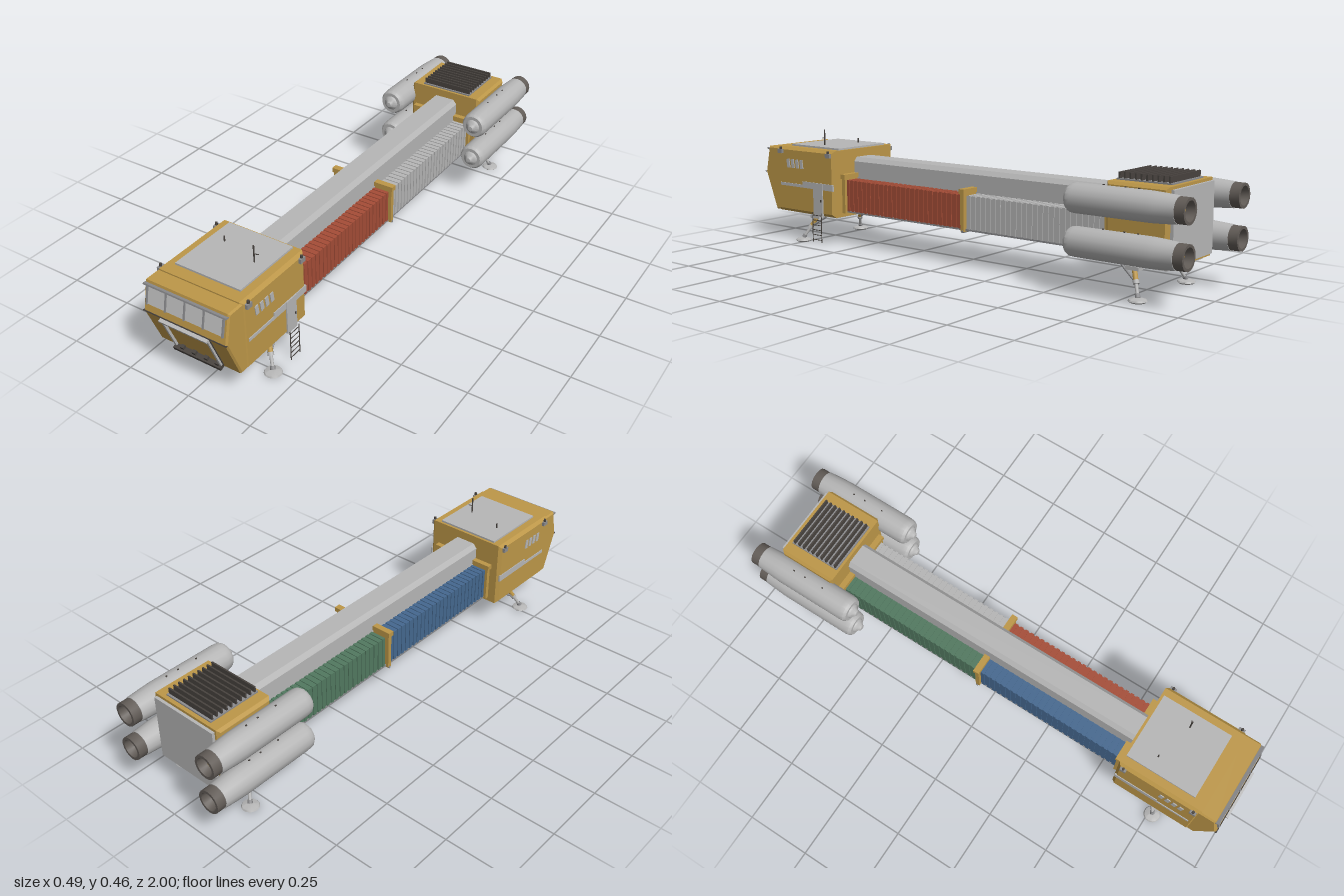
import * as THREE from 'three';
import { mergeGeometries, toCreasedNormals } from 'three/addons/utils/BufferGeometryUtils.js';

const mat = (name, color) => Object.assign(new THREE.MeshStandardMaterial({ color }), { name });
const M = {
  yellow: mat('ochre hull', 0xbd9748), grey: mat('light grey', 0xb6b6b6), mid: mat('mid grey', 0x8c8c8e),
  dark: mat('dark trim', 0x48433f), nozzle: mat('nozzle metal', 0x625c57), red: mat('red container', 0xa54d37),
  blue: mat('blue container', 0x45688f), green: mat('green container', 0x527960), glass: mat('pale window', 0xc2c2c2),
};

function add(parent, name, geo, material, x = 0, y = 0, z = 0) {
  const m = new THREE.Mesh(geo, material);
  m.name = name;
  m.position.set(x, y, z);
  parent.add(m);
  return m;
}
// Box given by its min and max corners
const span = (p, name, m, x0, x1, y0, y1, z0, z1) =>
  add(p, name, new THREE.BoxGeometry(x1 - x0, y1 - y0, z1 - z0), m, (x0 + x1) / 2, (y0 + y1) / 2, (z0 + z1) / 2);

// Bevelled hull from a side profile of [z, y] points
function hull(points, halfWidth, bevel) {
  const shape = new THREE.Shape(points.map(p => new THREE.Vector2(...p)));
  const depth = 2 * (halfWidth - bevel);
  const g = new THREE.ExtrudeGeometry(shape, {
    depth, bevelEnabled: true, bevelThickness: bevel, bevelSize: bevel, bevelOffset: -bevel, bevelSegments: 1,
  });
  return g.translate(0, 0, -depth / 2).rotateY(-Math.PI / 2);
}
// Round bar between two points
function strut(p, name, a, b, r, m, r2 = r) {
  const A = new THREE.Vector3(...a), B = new THREE.Vector3(...b), d = B.clone().sub(A);
  const s = add(p, name, new THREE.CylinderGeometry(r2, r, d.length(), 10), m);
  s.position.copy(A).add(B).multiplyScalar(0.5);
  s.quaternion.setFromUnitVectors(new THREE.Vector3(0, 1, 0), d.normalize());
  return s;
}
// Corrugated cargo container
function container(p, name, m, side, z0, z1) {
  const parts = [new THREE.BoxGeometry(0.062, 0.122, z1 - z0).translate(side * 0.084, 0.203, (z0 + z1) / 2)];
  const n = 26, step = (z1 - z0) / n;
  for (let i = 0; i < n; i++)
    parts.push(new THREE.BoxGeometry(0.066, 0.126, step * 0.55).translate(side * 0.085, 0.204, z0 + (i + 0.5) * step));
  add(p, name, mergeGeometries(parts), m);
}
// Landing leg with a dished foot
function leg(p, side, zTop, zFoot) {
  const g = new THREE.Group();
  g.name = 'landingLeg';
  p.add(g);
  const at = (t, dx = 0) => [side * (0.122 + 0.043 * t + dx), 0.1 - 0.085 * t, zTop + (zFoot - zTop) * t];
  span(g, 'legMount', M.grey, side * 0.123 - 0.017, side * 0.123 + 0.017, 0.095, 0.108, zTop - 0.025, zTop + 0.025);
  strut(g, 'upperLeg', at(0), at(0.5), 0.009, M.yellow);
  strut(g, 'legCollar', at(0.42), at(0.54), 0.011, M.grey);
  strut(g, 'lowerLeg', at(0.5), at(1), 0.006, M.grey);
  strut(g, 'ankle', at(0.88), at(1), 0.009, M.mid);
  strut(g, 'legBrace', at(0.5), [side * 0.12, 0.105, zTop - Math.sign(zFoot) * 0.05], 0.004, M.mid);
  const foot = [[0, 0], [0.026, 0], [0.032, 0.005], [0.029, 0.01], [0.013, 0.015], [0, 0.016]];
  const geo = new THREE.LatheGeometry(foot.map(q => new THREE.Vector2(...q)), 20);
  add(g, 'foot', toCreasedNormals(geo, 0.6), M.grey, side * 0.166, 0, zFoot);
}
function lathe(p, name, pts, m, x, y) {
  const geo = new THREE.LatheGeometry(pts.map(q => new THREE.Vector2(...q)), 16).rotateX(-Math.PI / 2);
  add(p, name, toCreasedNormals(geo, 0.55), m, x, y, 0);
}

function cabin(root) {
  const g = new THREE.Group();
  g.name = 'cabin';
  root.add(g);
  add(g, 'cabinHull', hull([[0.575, 0.116], [0.905, 0.116], [0.905, 0.385], [0.575, 0.385]], 0.172, 0.012), M.yellow);
  add(g, 'cabinNose', hull([[0.89, 0.118], [0.925, 0.118], [0.985, 0.272], [0.962, 0.38], [0.89, 0.38]], 0.168, 0.006), M.yellow);
  span(g, 'roofPlate', M.grey, -0.131, 0.131, 0.384, 0.392, 0.585, 0.86);
  span(g, 'bellyPlate', M.grey, -0.122, 0.122, 0.105, 0.117, 0.61, 0.87);

  // Sloping windscreen
  const up = new THREE.Group();
  up.name = 'windscreen';
  up.position.set(0, 0.272, 0.985);
  up.rotation.x = -0.21;
  g.add(up);
  span(up, 'windowPane', M.glass, -0.154, 0.154, 0.028, 0.092, -0.003, 0.003);
  for (let i = -2; i <= 2; i++) span(up, 'mullion', M.mid, i * 0.076 - 0.003, i * 0.076 + 0.003, 0.026, 0.094, -0.002, 0.007);
  span(up, 'visor', M.mid, -0.165, 0.165, 0.095, 0.101, -0.004, 0.012);
  span(up, 'browSeam', M.dark, -0.168, 0.168, -0.002, 0.001, -0.004, 0.003);

  // Lower front hatch
  const low = new THREE.Group();
  low.name = 'frontHatch';
  low.position.set(0, 0.27, 0.985);
  low.rotation.x = 0.371;
  g.add(low);
  for (const s of [-1, 1]) {
    span(low, 'hatchPost', M.grey, s * 0.092 - 0.004, s * 0.092 + 0.004, -0.155, -0.004, -0.003, 0.008);
    span(low, 'hatchSeam', M.dark, s * 0.0995 - 0.0015, s * 0.0995 + 0.0015, -0.155, -0.004, -0.003, 0.002);
  }
  span(low, 'hatchTop', M.grey, -0.097, 0.097, -0.009, -0.001, -0.003, 0.014);
  span(low, 'bumper', M.dark, -0.097, 0.097, -0.166, -0.152, -0.01, 0.018);
  for (const x of [-0.062, -0.013, 0.036, 0.081]) span(low, 'bumperBlock', M.dark, x - 0.007, x + 0.007, -0.152, -0.141, -0.003, 0.012);

  // Side trim, vents and corner lamps
  for (const s of [-1, 1]) {
    const plate = (name, m, y0, y1, z0, z1, t = 0.003) => span(g, name, m, s * 0.172 - t, s * 0.172 + t, y0, y1, z0, z1);
    plate('sideStripe', M.grey, 0.224, 0.25, 0.578, 0.755);
    plate('sideStripe', M.grey, 0.224, 0.236, 0.755, 0.885);
    for (let i = 0; i < 4; i++) plate('sideVent', M.grey, 0.3, 0.336, 0.752 + i * 0.026, 0.768 + i * 0.026).rotation.x = 0.15;
    for (const z of [0.6, 0.88]) {
      span(g, 'lampBracket', M.mid, s * 0.175 - 0.007, s * 0.175 + 0.007, 0.357, 0.374, z - 0.012, z + 0.012);
      strut(g, 'lamp', [s * 0.176, 0.372, z], [s * 0.176, 0.384, z], 0.005, M.dark);
    }
  }
  // Door and ladder
  span(g, 'door', M.grey, 0.169, 0.177, 0.12, 0.25, 0.637, 0.69);
  span(g, 'doorHandle', M.dark, 0.176, 0.18, 0.175, 0.185, 0.643, 0.647);
  for (const z of [0.638, 0.688]) strut(g, 'ladderRail', [0.184, 0.01, z], [0.184, 0.13, z], 0.0018, M.dark);
  for (let i = 0; i < 6; i++) strut(g, 'ladderRung', [0.184, 0.02 + i * 0.02, 0.638], [0.184, 0.02 + i * 0.02, 0.688], 0.0016, M.dark);
  // Antennas
  strut(g, 'tallAntenna', [0.078, 0.39, 0.72], [0.078, 0.456, 0.72], 0.0027, M.dark);
  strut(g, 'antennaArm', [0.076, 0.423, 0.72], [0.093, 0.423, 0.715], 0.0016, M.dark);
  strut(g, 'shortAntenna', [-0.075, 0.39, 0.68], [-0.075, 0.412, 0.68], 0.0027, M.dark);
}

function spine(root) {
  const g = new THREE.Group();
  g.name = 'spine';
  root.add(g);
  // Chamfered central beam
  const s = new THREE.Shape([[-0.055, 0.14], [0.055, 0.14], [0.055, 0.335], [0.04, 0.352], [-0.04, 0.352], [-0.055, 0.335]].map(q => new THREE.Vector2(...q)));
  add(g, 'centralBeam', new THREE.ExtrudeGeometry(s, { depth: 1.28, bevelEnabled: false }), M.grey, 0, 0, -0.69);
  span(g, 'underPlate', M.mid, -0.117, 0.117, 0.135, 0.142, -0.67, 0.57);
  container(g, 'redContainer', M.red, 1, -0.04, 0.56);
  container(g, 'greyContainer', M.grey, 1, -0.66, -0.06);
  container(g, 'blueContainer', M.blue, -1, -0.04, 0.56);
  container(g, 'greenContainer', M.green, -1, -0.66, -0.06);
  // Frames around the containers
  for (const z of [0.565, 0.052 - 0.1, -0.665]) for (const side of [-1, 1]) {
    const c = side * 0.092;
    span(g, 'containerFrame', M.yellow, c - 0.036, c + 0.036, 0.132, 0.28, z - 0.008, z + 0.008);
    span(g, 'frameCap', M.yellow, c - 0.042, c + 0.042, 0.272, 0.29, z - 0.012, z + 0.012);
  }
  strut(g, 'crossPipe', [-0.13, 0.132, -0.05], [0.13, 0.132, -0.05], 0.005, M.mid);
}

function engineModule(root) {
  const g = new THREE.Group();
  g.name = 'engineModule';
  root.add(g);
  add(g, 'engineHull', hull([[-0.905, 0.115], [-0.675, 0.115], [-0.675, 0.382], [-0.905, 0.382]], 0.155, 0.01), M.yellow);
  span(g, 'backPlate', M.grey, -0.138, 0.138, 0.125, 0.372, -0.916, -0.9);
  span(g, 'bellyPlate', M.grey, -0.122, 0.122, 0.105, 0.117, -0.89, -0.69);
  // Roof radiator
  span(g, 'radiatorBase', M.mid, -0.106, 0.106, 0.38, 0.387, -0.89, -0.685);
  for (let i = 0; i < 10; i++) span(g, 'radiatorFin', M.dark, -0.103, 0.103, 0.385, 0.408, -0.882 + i * 0.0205, -0.876 + i * 0.0205);
  // Four thrusters
  for (const x of [-0.191, 0.191]) for (const y of [0.322, 0.176]) {
    const t = new THREE.Group();
    t.name = 'thruster';
    g.add(t);
    lathe(t, 'thrusterBody', [[0, 0.537], [0.01, 0.54], [0.018, 0.55], [0.027, 0.556], [0.03, 0.562], [0.043, 0.562],
      [0.05, 0.572], [0.052, 0.59], [0.052, 0.87], [0.0505, 0.9], [0.046, 0.965], [0, 0.966]], M.grey, x, y);
    lathe(t, 'nozzle', [[0.044, 0.962], [0.044, 1], [0.034, 1], [0.029, 0.969]], M.nozzle, x, y);
    lathe(t, 'nozzleCore', [[0.031, 0.969], [0.012, 0.974], [0, 0.984]].reverse().map(([r, d]) => [r, d]).reverse(), M.yellow, x, y);
    const s = Math.sign(x);
    span(t, 'pylon', M.mid, Math.min(s * 0.14, s * 0.17), Math.max(s * 0.14, s * 0.17), y - 0.02, y + 0.02, -0.88, -0.7);
    for (const z of [-0.69, -0.77, -0.82]) span(t, 'bolt', M.dark, x - 0.002, x + 0.002, y + 0.05, y + 0.055, z - 0.003, z + 0.003);
  }
}

export function createModel() {
  const root = new THREE.Group();
  root.name = 'cargoHauler';
  cabin(root);
  spine(root);
  engineModule(root);
  for (const s of [-1, 1]) {
    leg(root, s, 0.725, 0.765);
    leg(root, s, -0.77, -0.81);
  }
  return root;
}
